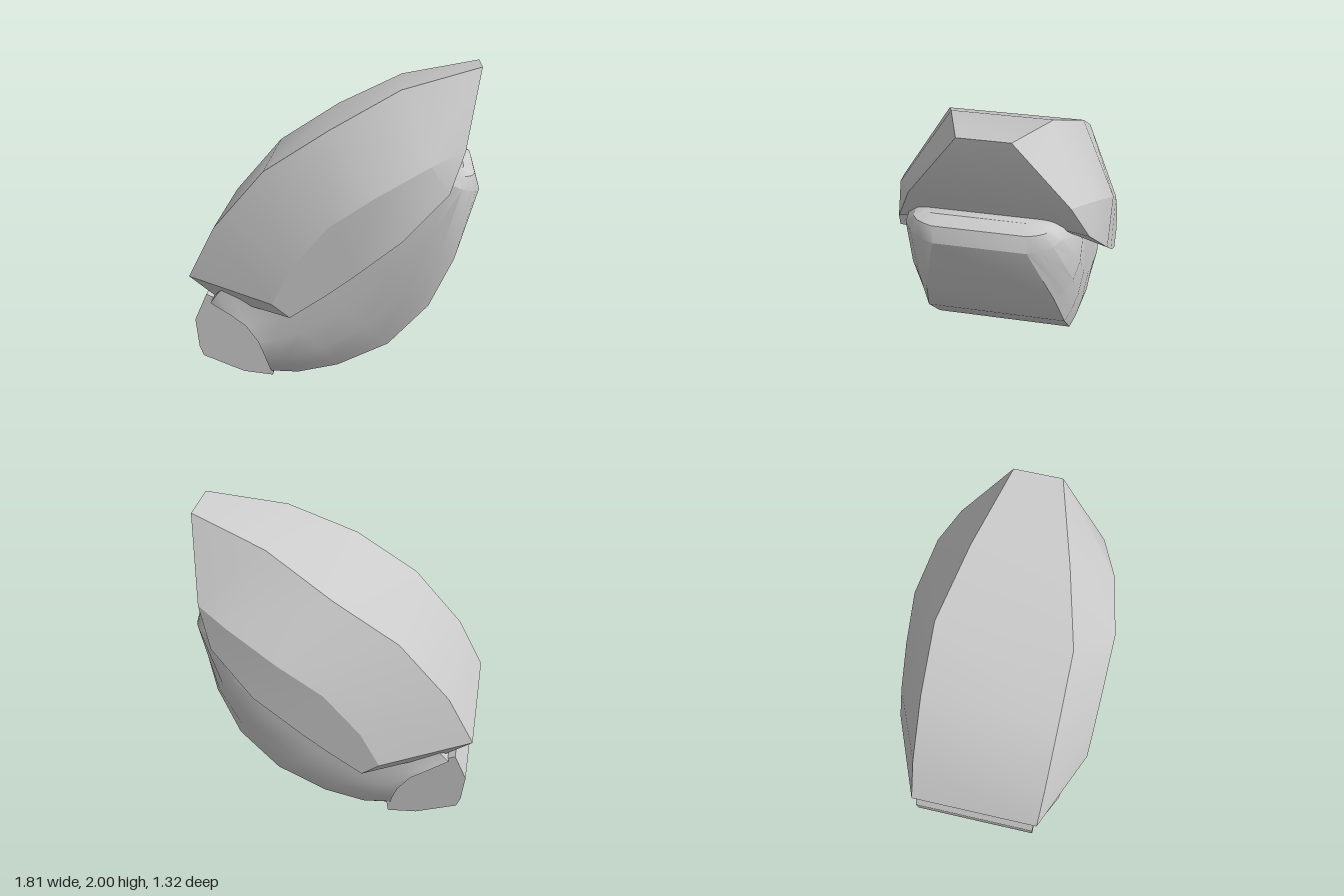
import * as THREE from 'three';
import { toCreasedNormals } from 'three/addons/utils/BufferGeometryUtils.js';

const material = new THREE.MeshStandardMaterial({ color: 0xcccccc, side: THREE.DoubleSide });

// Joins closed rings of points into a solid; caps lists the end quads by ring index
function loft(rings, caps, crease) {
  const n = rings[0].length, last = (rings.length - 1) * n, index = [];
  const quad = (a, b, c, d) => index.push(a, b, c, a, c, d);
  for (let i = 0; i < rings.length - 1; i++) {
    for (let j = 0; j < n; j++) {
      const k = (j + 1) % n;
      quad(i * n + j, (i + 1) * n + j, (i + 1) * n + k, i * n + k);
    }
  }
  for (const [a, b, c, d] of caps) {
    quad(a, b, c, d);
    quad(last + d, last + c, last + b, last + a);
  }
  const geometry = new THREE.BufferGeometry();
  geometry.setAttribute('position', new THREE.Float32BufferAttribute(rings.flat(2), 3));
  geometry.setIndex(index);
  return toCreasedNormals(geometry, crease);
}

function addMesh(group, name, geometry) {
  const mesh = new THREE.Mesh(geometry, material);
  mesh.name = name;
  group.add(mesh);
}

// Faceted outer shell: ridge, shoulder, lower lip and hidden inner line, [x, y, half width]
function shellGeometry() {
  const ridge = [[-.91, .69, .425], [-.74, 1.02, .43], [-.42, 1.39, .43], [-.02, 1.65, .425], [.41, 1.88, .3], [.9, 2, .15]];
  const shoulder = [[-.35, .615, .66], [-.23, .85, .66], [0, 1.12, .66], [.28, 1.31, .66], [.6, 1.48, .575], [.8, 1.55, .465]];
  const lip = [[-.24, .53, .66], [-.02, .68, .66], [.14, .8, .66], [.44, 1.04, .655], [.71, 1.31, .565], [.8, 1.55, .465]];
  const inner = [[-.75, .55, .4], [-.55, .78, .4], [-.3, .98, .4], [.1, 1.17, .4], [.7, 1.33, .4], [.8, 1.55, .3]];
  const rings = ridge.map((_, i) => {
    const side = [inner[i], lip[i], shoulder[i], ridge[i]];
    return [...side, ...side.map(([x, y, z]) => [x, y, -z]).reverse()];
  });
  return loft(rings, [[0, 1, 2, 3], [0, 3, 4, 7], [4, 5, 6, 7]], 0.35);
}

// Rounded body: keel [x, y, half width], bulge half width, hidden top line and z shift
function bodyGeometry() {
  const stations = [
    [-.4, .03, .39, .535, -.77, .53, .01],
    [-.22, .05, .43, .525, -.72, .6, .01],
    [.04, .12, .445, .525, -.6, .72, .01],
    [.36, .28, .445, .525, -.35, .95, .01],
    [.61, .55, .44, .525, 0, 1.2, .01],
    [.76, .85, .395, .525, .35, 1.35, .015],
    [.9, 1.28, .275, .46, .6, 1.4, .04],
    [.87, 1.38, .275, .4, .69, 1.41, .045],
    [.8, 1.42, .275, .34, .72, 1.41, .045],
  ];
  // Fraction from keel to top line, and how far out the bulge is there
  const profile = [[0, 0], [.08, .4], [.2, .78], [.38, 1], [.6, 1], [.8, .9], [1, .5]];
  const rings = stations.map(([kx, ky, kz, bz, ux, uy, shift], i) => {
    const bow = Math.max(0, .09 - .03 * i);
    const side = profile.map(([t, f]) => {
      const b = bow * Math.sin(Math.PI * t);
      return [kx + (ux - kx) * t + b, ky + (uy - ky) * t + b, kz + (bz - kz) * f];
    });
    return [
      ...side.map(([x, y, z]) => [x, y, shift + z]),
      ...side.map(([x, y, z]) => [x, y, shift - z]).reverse(),
    ];
  });
  const n = rings[0].length;
  const caps = profile.slice(1).map((_, j) => [j, j + 1, n - 2 - j, n - 1 - j]);
  return loft(rings, caps, 0.6);
}

// Lower end block, a straight extrusion across the width
function endBlockGeometry() {
  const outline = [[-.81, .56], [-.89, .38], [-.87, .19], [-.845, .125], [-.58, .02], [-.39, 0], [-.36, .2], [-.6, .46]];
  const shape = new THREE.Shape(outline.map(([x, y]) => new THREE.Vector2(x, y)));
  const geometry = new THREE.ExtrudeGeometry(shape, { depth: .83, bevelEnabled: false });
  return geometry.translate(0, 0, -.43);
}

export function createModel() {
  const group = new THREE.Group();
  group.name = 'shoulderGuard';
  addMesh(group, 'outerShell', shellGeometry());
  addMesh(group, 'innerBody', bodyGeometry());
  addMesh(group, 'lowerEndBlock', endBlockGeometry());
  return group;
}
